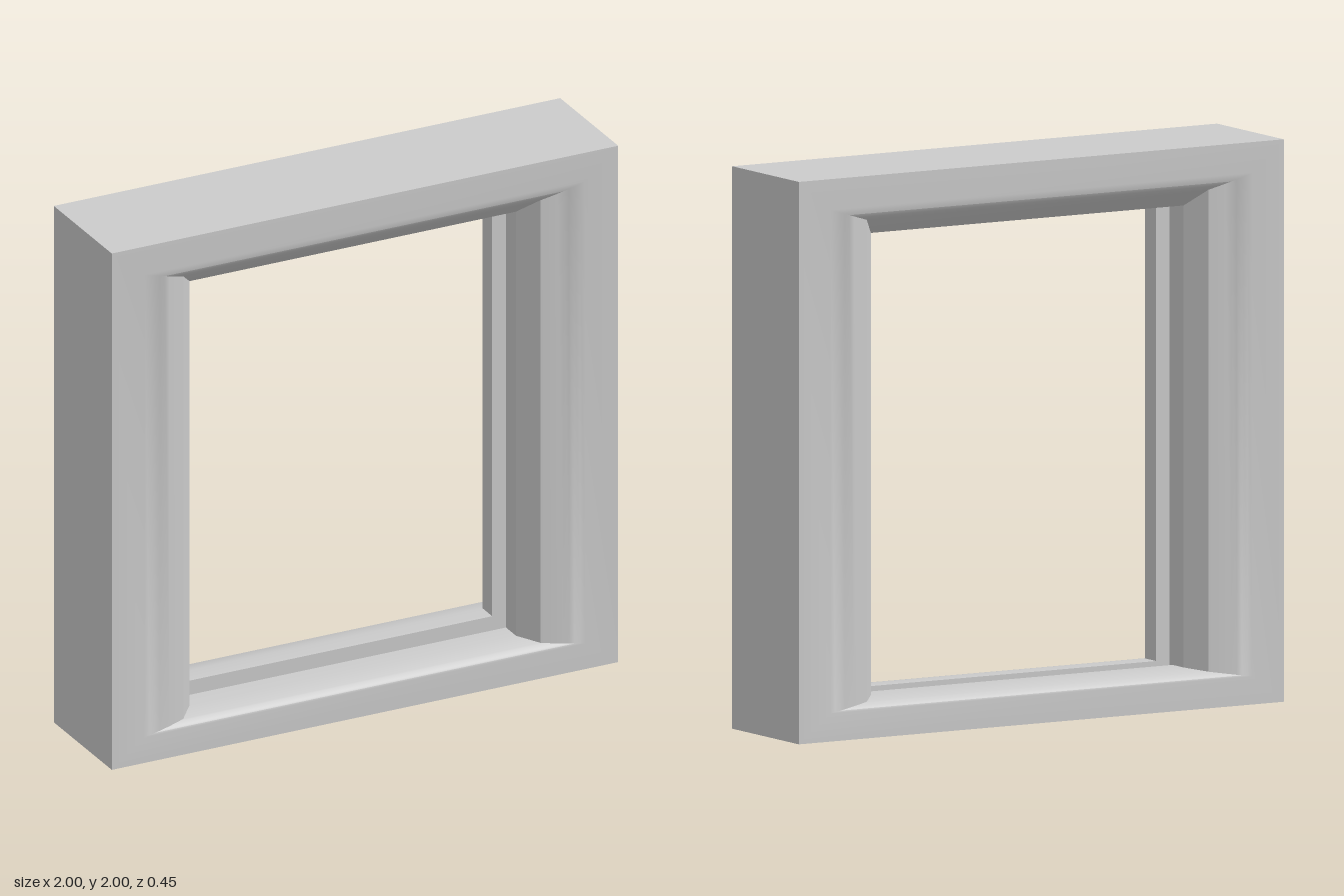
import * as THREE from 'three';
import { toCreasedNormals } from 'three/addons/utils/BufferGeometryUtils.js';

// One rectangular outline of the frame: half width, bottom, top and depth
const ring = (w, bottom, top, z) => ({ w, bottom, top, z });

// Half of the moulding section, from the outer front edge to the middle groove
function halfProfile() {
  const rings = [ring(1, 0, 2, 0.225)];
  // face rolling gently inwards towards the opening
  const steps = 8;
  for (let i = 0; i <= steps; i++) {
    const u = i / steps;
    rings.push(ring(0.87 - 0.165 * u, 0.1 + 0.026 * u, 1.89 - 0.05 * u, 0.225 - 0.025 * u ** 1.8));
  }
  // bevel, lip and groove
  rings.push(ring(0.645, 0.137, 1.78, 0.13));
  rings.push(ring(0.645, 0.137, 1.78, 0.055));
  rings.push(ring(0.7, 0.082, 1.835, 0.055));
  return rings;
}

// Skins the closed section around the four mitred sides
function frameGeometry() {
  const front = halfProfile();
  const back = front.map((r) => ring(r.w, r.bottom, r.top, -r.z)).reverse();
  const rings = [...front, ...back];
  const positions = [];
  const indices = [];
  for (const { w, bottom, top, z } of rings) {
    positions.push(-w, bottom, z, w, bottom, z, w, top, z, -w, top, z);
  }
  for (let i = 0; i < rings.length; i++) {
    const next = (i + 1) % rings.length;
    for (let j = 0; j < 4; j++) {
      const k = (j + 1) % 4;
      const a = i * 4 + j, b = i * 4 + k, c = next * 4 + k, d = next * 4 + j;
      indices.push(a, b, c, a, c, d);
    }
  }
  const geometry = new THREE.BufferGeometry();
  geometry.setAttribute('position', new THREE.Float32BufferAttribute(positions, 3));
  geometry.setIndex(indices);
  return toCreasedNormals(geometry, Math.PI / 6);
}

export function createModel() {
  const group = new THREE.Group();
  group.name = 'windowFrame';
  const material = new THREE.MeshStandardMaterial({ color: 0xcccccc });
  const frame = new THREE.Mesh(frameGeometry(), material);
  frame.name = 'mouldedFrame';
  group.add(frame);
  return group;
}
